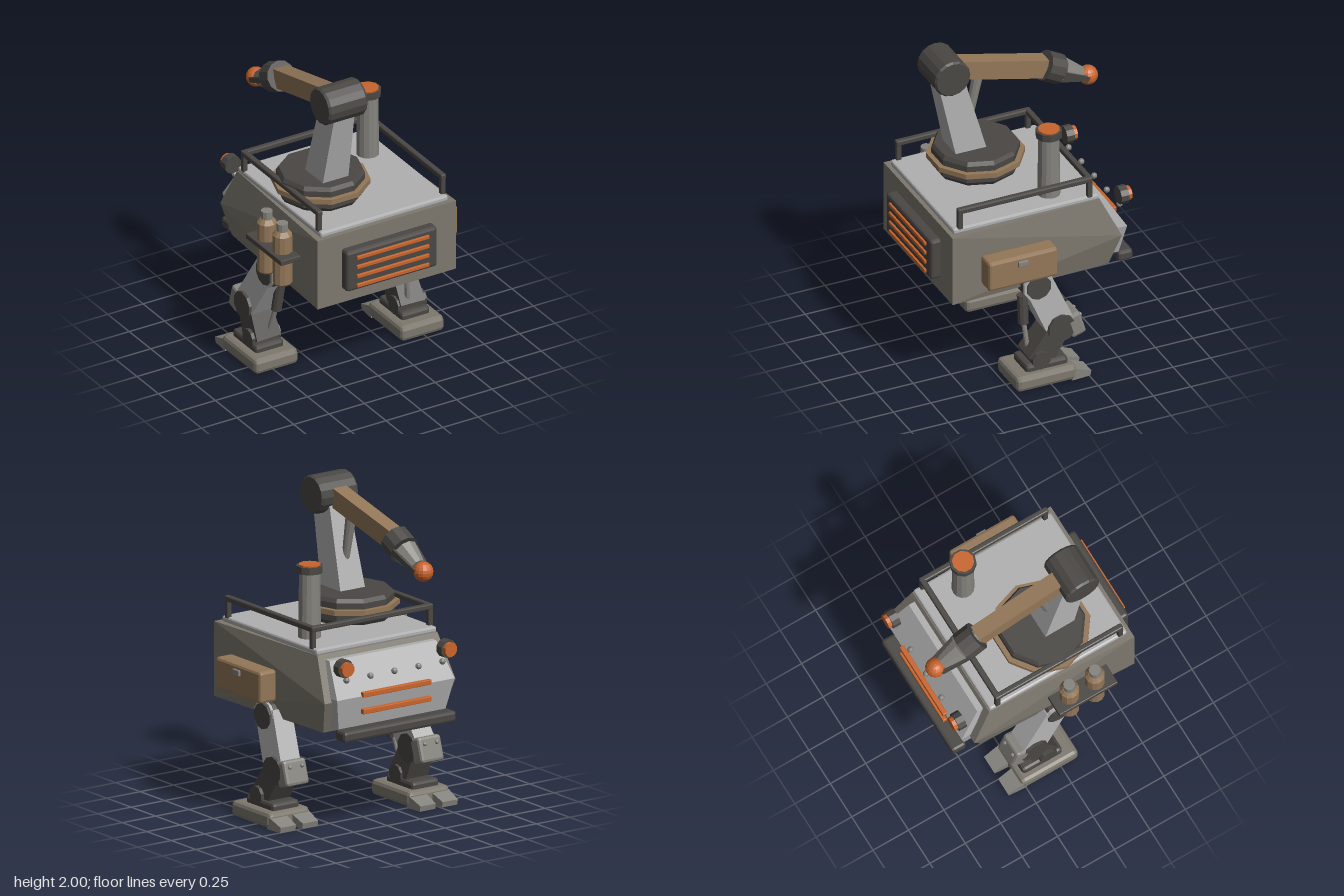
import * as THREE from 'three';
import { RoundedBoxGeometry } from 'three/addons/geometries/RoundedBoxGeometry.js';
import { ConvexGeometry } from 'three/addons/geometries/ConvexGeometry.js';

const paint = (color) => new THREE.MeshStandardMaterial({ color, flatShading: true });
const HULL = paint(0x7d786e), DARK = paint(0x4a4744), TAN = paint(0x937758);
const ORANGE = paint(0xc8642c), LIGHT = paint(0xb0b0b0), STEEL = paint(0x85837d);
const V = (x, y, z) => new THREE.Vector3(x, y, z);

function add(parent, name, geometry, material, x = 0, y = 0, z = 0) {
  const mesh = new THREE.Mesh(geometry, material);
  mesh.name = name;
  mesh.position.set(x, y, z);
  parent.add(mesh);
  return mesh;
}

// Box with chamfered edges
const box = (p, name, mat, [w, h, d], [x, y, z], c = 0.012) =>
  add(p, name, new RoundedBoxGeometry(w, h, d, 1, c), mat, x, y, z);

// Stand a geometry of unit height between two points, keeping its x axis level
function span(parent, name, geometry, mat, a, b) {
  const up = b.clone().sub(a);
  geometry.scale(1, up.length(), 1);
  up.normalize();
  const side = (Math.abs(up.x) > 0.9 ? V(0, 0, 1) : V(1, 0, 0));
  side.addScaledVector(up, -side.dot(up)).normalize();
  const mesh = add(parent, name, geometry, mat);
  mesh.quaternion.setFromRotationMatrix(
    new THREE.Matrix4().makeBasis(side, up, side.clone().cross(up)));
  mesh.position.copy(a).add(b).multiplyScalar(0.5);
  return mesh;
}

// Tapered rectangular beam: start size [w, d], end size [w, d]
function beam(parent, name, mat, a, b, s0, s1 = s0) {
  const g = new THREE.BoxGeometry(1, 1, 1), pos = g.attributes.position;
  for (let i = 0; i < pos.count; i++) {
    const s = pos.getY(i) < 0 ? s0 : s1;
    pos.setX(i, pos.getX(i) * s[0]);
    pos.setZ(i, pos.getZ(i) * s[1]);
  }
  return span(parent, name, g, mat, a, b);
}

const rod = (parent, name, mat, a, b, r0, r1 = r0, sides = 10) =>
  span(parent, name, new THREE.CylinderGeometry(r1, r0, 1, sides), mat, a, b);

// Upright turned part from [radius, y] pairs
function turned(parent, name, mat, profile, x, z, sides) {
  const g = new THREE.LatheGeometry(profile.map(([r, y]) => new THREE.Vector2(r, y)), sides);
  const mesh = add(parent, name, g, mat, x, 0, z);
  mesh.rotation.y = Math.PI / sides;
  return mesh;
}

const mirrored = (points) =>
  new ConvexGeometry(points.flatMap(([x, y, z]) => [V(x, y, z), V(-x, y, z)]));

function buildBody(root) {
  const body = new THREE.Group();
  body.name = 'body';
  root.add(body);
  add(body, 'hull', mirrored([[0.49, 0.65, 0.6], [0.49, 1.12, 0.6], [0.45, 1.12, -0.4],
    [0.49, 0.85, -0.53], [0.45, 0.65, -0.46]]), HULL);
  add(body, 'rearPlate', mirrored([[0.4, 1.09, -0.4], [0.4, 1.09, -0.455], [0.44, 0.875, -0.589],
    [0.44, 0.875, -0.53], [0.4, 0.68, -0.55], [0.4, 0.68, -0.46]]), LIGHT);
  box(body, 'bumper', DARK, [0.84, 0.07, 0.1], [0, 0.65, -0.59], 0.018);
  box(body, 'deck', LIGHT, [0.9, 0.04, 0.97], [0, 1.135, 0.09]);

  // Front grille and rear light strips
  box(body, 'grille', DARK, [0.64, 0.275, 0.08], [0, 0.883, 0.625], 0.018);
  for (let i = 0; i < 4; i++)
    box(body, 'grilleBar', ORANGE, [0.51, 0.024, 0.02], [0, 0.78 + i * 0.064, 0.668], 0.003);
  for (const y of [0.78, 0.885]) {
    box(body, 'lightStrip', ORANGE, [0.51, 0.032, 0.03], [0, y, -0.593], 0.004);
  }
  for (let i = -2; i <= 2; i++)
    add(body, 'rivet', new THREE.SphereGeometry(0.02, 8, 6), STEEL, i * 0.18, 0.99, -0.575);

  // Lamps and the guard rail around three sides of the deck
  for (const s of [-1, 1]) {
    const x = s * 0.385;
    rod(body, 'lampHousing', DARK, V(x, 1.07, -0.553), V(x, 1.07, -0.605), 0.058);
    rod(body, 'lampLens', ORANGE, V(x, 1.07, -0.6), V(x, 1.07, -0.63), 0.046);
    box(body, 'sideRail', DARK, [0.036, 0.036, 0.9], [s * 0.437, 1.27, 0.095], 0.008);
    for (const z of [-0.337, 0.527])
      box(body, 'railPost', DARK, [0.034, 0.13, 0.034], [s * 0.437, 1.21, z], 0.008);
  }
  box(body, 'rearRail', DARK, [0.9, 0.036, 0.036], [0, 1.27, -0.337], 0.008);

  // Exhaust stack
  rod(body, 'stack', STEEL, V(0.308, 1.15, -0.128), V(0.308, 1.57, -0.128), 0.07, 0.064, 14);
  rod(body, 'stackCollar', DARK, V(0.308, 1.56, -0.128), V(0.308, 1.605, -0.128), 0.082);
  rod(body, 'stackCap', ORANGE, V(0.308, 1.6, -0.128), V(0.308, 1.612, -0.128), 0.068);

  // Storage case on the left, canisters on the right
  box(body, 'case', TAN, [0.125, 0.2, 0.46], [0.555, 0.86, 0.185], 0.018);
  box(body, 'caseLatch', STEEL, [0.02, 0.038, 0.065], [0.621, 0.91, 0.19], 0.004);
  box(body, 'canisterBracket', DARK, [0.145, 0.035, 0.41], [-0.555, 0.91, 0.195], 0.005);
  for (const z of [0.105, 0.285]) {
    turned(body, 'canister', TAN, [[0, 0.7], [0.05, 0.7], [0.062, 0.715], [0.062, 1.04],
      [0.04, 1.068], [0, 1.068]], -0.548, z, 12);
    rod(body, 'canisterNeck', STEEL, V(-0.548, 1.06, z), V(-0.548, 1.118, z), 0.037);
  }
}

function buildArm(root) {
  const arm = new THREE.Group();
  arm.name = 'arm';
  root.add(arm);
  const x = -0.183;
  turned(arm, 'turntable', DARK, [[0, 1.15], [0.25, 1.15], [0.27, 1.18], [0.27, 1.295],
    [0.255, 1.32], [0, 1.32]], x, 0.13, 10);
  turned(arm, 'turntableBand', TAN, [[0.2, 1.225], [0.302, 1.225], [0.302, 1.258],
    [0.2, 1.258]], x, 0.13, 10);
  beam(arm, 'upperArm', LIGHT, V(x, 1.29, 0.197), V(x, 1.88, 0.34), [0.185, 0.2], [0.14, 0.165]);

  // Shoulder drum with bevelled rims
  const drum = add(arm, 'elbowDrum', new THREE.LatheGeometry([[0, -0.136], [0.11, -0.136],
    [0.12, -0.122], [0.12, 0.122], [0.11, 0.136], [0, 0.136]]
    .map(([r, y]) => new THREE.Vector2(r, y)), 16), DARK, x, 1.88, 0.342);
  drum.rotation.z = Math.PI / 2;

  beam(arm, 'forearm', TAN, V(x, 1.895, 0.34), V(x, 1.732, -0.325), [0.105, 0.12], [0.1, 0.122]);
  rod(arm, 'armPiston', STEEL, V(x, 1.42, 0.19), V(x, 1.82, 0.11), 0.022, 0.036);

  // Wrist, gripper and tip, laid out along one tilted axis
  const at = (t, dx = 0) => V(x + dx, 1.71 - 0.46 * t, -0.375 - 0.89 * t);
  rod(arm, 'wristLink', STEEL, at(-0.07), at(0.07), 0.05);
  rod(arm, 'wrist', DARK, at(-0.055), at(0.055), 0.096, 0.096, 12);
  rod(arm, 'gripper', STEEL, at(0.07), at(0.215), 0.083, 0.05);
  for (const s of [-1, 1])
    beam(arm, 'gripperFinger', DARK, at(0.05, s * 0.08), at(0.255, s * 0.05), [0.025, 0.04], [0.02, 0.03]);
  add(arm, 'tip', new THREE.SphereGeometry(0.062, 14, 10), ORANGE, x, 1.592, -0.62);
}

// s is the side, step moves the foot along z
function buildLeg(root, s, step) {
  const leg = new THREE.Group();
  leg.name = s > 0 ? 'leftLeg' : 'rightLeg';
  root.add(leg);
  const P = (x, y, z) => V(s * x, y, z);
  const kz = -0.095 + step * 0.5, az = 0.03 + step, c = s * 0.483;
  rod(leg, 'hip', DARK, P(0.27, 0.655, 0.045), P(0.51, 0.655, 0.045), 0.1);
  rod(leg, 'hipCover', LIGHT, P(0.4, 0.655, 0.045), P(0.53, 0.655, 0.045), 0.098);
  rod(leg, 'hipHub', DARK, P(0.5, 0.655, 0.045), P(0.54, 0.655, 0.045), 0.082);
  beam(leg, 'thigh', LIGHT, P(0.455, 0.67, 0.04), P(0.485, 0.35, kz), [0.14, 0.185], [0.145, 0.19]);
  rod(leg, 'knee', DARK, P(0.4, 0.345, kz), P(0.57, 0.345, kz), 0.092);

  // Knee pad with two bolts
  const pad = box(leg, 'kneePad', STEEL, [0.17, 0.16, 0.1], [s * 0.485, 0.345, kz - 0.095], 0.018);
  pad.rotation.x = 0.3;
  for (const dx of [-0.045, 0.045])
    add(pad, 'kneeBolt', new THREE.SphereGeometry(0.014, 8, 6), STEEL, dx, 0.035, -0.052);

  beam(leg, 'shin', DARK, P(0.485, 0.36, kz), P(0.478, 0.14, az + 0.02), [0.15, 0.14], [0.17, 0.17]);
  rod(leg, 'ankle', DARK, P(0.38, 0.165, az + 0.02), P(0.585, 0.165, az + 0.02), 0.06);
  // Calf piston
  rod(leg, 'pistonSleeve', DARK, P(0.425, 0.56, 0.105 + step * 0.4), P(0.44, 0.37, 0.105 + step * 0.6), 0.034);
  rod(leg, 'pistonRod', STEEL, P(0.44, 0.39, 0.105 + step * 0.6), P(0.46, 0.18, 0.085 + step), 0.016);

  // Foot with two wedge toes
  box(leg, 'anklePlate', DARK, [0.2, 0.07, 0.28], [c, 0.115, az - 0.02], 0.02);
  box(leg, 'foot', HULL, [0.305, 0.1, 0.4], [c, 0.055, az + 0.003], 0.026);
  for (const dx of [-0.083, 0.083])
    beam(leg, 'toe', STEEL, V(c + dx, 0.042, az - 0.17), V(c + dx, 0.02, az - 0.29), [0.13, 0.08], [0.115, 0.035]);
}

export function createModel() {
  const root = new THREE.Group();
  root.name = 'walker';
  buildBody(root);
  buildArm(root);
  buildLeg(root, 1, 0);
  buildLeg(root, -1, -0.11);
  return root;
}
